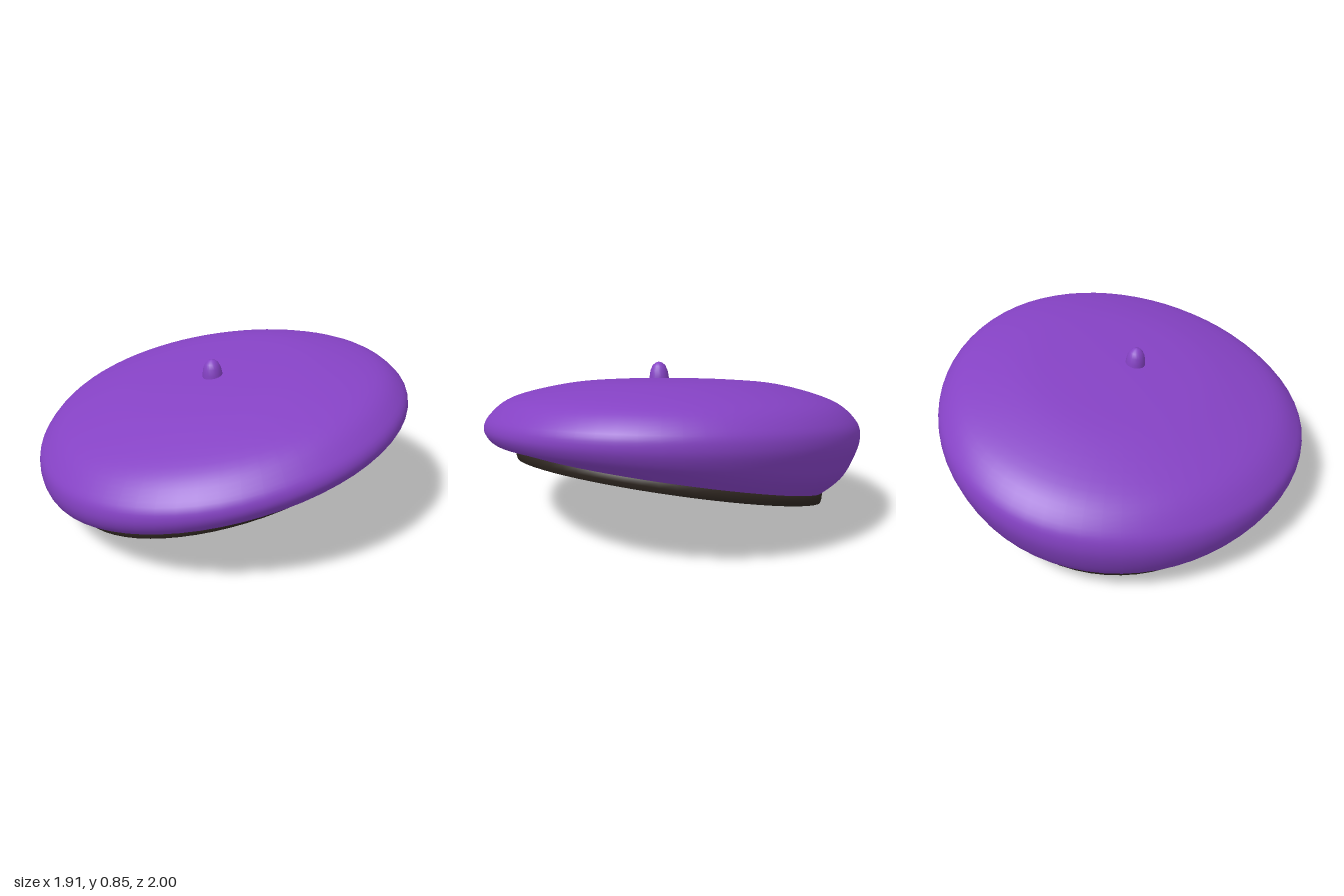
import * as THREE from 'three';

const SEGMENTS = 64;

// One tilted, slightly egg-shaped ring.
// section: [centreX, centreZ, radiusX, radiusZ, height, slopeX, slopeZ, egg]
function ringPoint([cx, cz, rx, rz, h, sx, sz, egg], angle) {
  const dz = rz * Math.sin(angle);
  const dx = rx * Math.cos(angle) * (1 + egg * dz);
  return [cx + dx, h + sx * dx + sz * dz, cz + dz];
}

// Smooth interpolation between neighbouring sections
function refine(sections, steps) {
  const out = [];
  const at = (i) => sections[Math.min(Math.max(i, 0), sections.length - 1)];
  for (let i = 0; i < sections.length - 1; i++) {
    for (let k = 0; k < steps; k++) {
      const t = k / steps;
      out.push(at(i).map((p1, n) => {
        const p0 = at(i - 1)[n], p2 = at(i + 1)[n], p3 = at(i + 2)[n];
        return p1 + 0.5 * t * (p2 - p0 + t * (2 * p0 - 5 * p1 + 4 * p2 - p3
          + t * (3 * (p1 - p2) + p3 - p0)));
      }));
    }
  }
  out.push(at(sections.length - 1));
  return out;
}

// Skin a stack of rings, listed from bottom to top of the outside
function loft(sections) {
  const positions = [], index = [];
  sections.forEach((section, i) => {
    for (let j = 0; j < SEGMENTS; j++) {
      positions.push(...ringPoint(section, (j / SEGMENTS) * Math.PI * 2));
      if (i === sections.length - 1) continue;
      const a = i * SEGMENTS + j;
      const b = i * SEGMENTS + (j + 1) % SEGMENTS;
      index.push(a, a + SEGMENTS, b, b, a + SEGMENTS, b + SEGMENTS);
    }
  });
  const geometry = new THREE.BufferGeometry();
  geometry.setAttribute('position', new THREE.Float32BufferAttribute(positions, 3));
  geometry.setIndex(index);
  geometry.computeVertexNormals();
  return geometry;
}

export function createModel() {
  const group = new THREE.Group();
  const felt = new THREE.MeshStandardMaterial({ color: 0x8542c4, side: THREE.DoubleSide });
  const trim = new THREE.MeshStandardMaterial({ color: 0x2e2620, side: THREE.DoubleSide });

  const add = (name, geometry, material) => {
    const mesh = new THREE.Mesh(geometry, material);
    mesh.name = name;
    group.add(mesh);
    return mesh;
  };

  // Head opening, used by the band and its lining
  const rim = (grow, lift) => [0.04, 0.03, 0.78 + grow, 0.8 + grow, 0.233 + lift, 0.2, 0.21, 0.03];

  // Soft crown: flares from the band, rolls over the edge, closes in a shallow dome
  add('crown', loft(refine([
    rim(0.005, 0.05),
    [0.015, 0.01, 0.87, 0.905, 0.335, 0.19, 0.155, 0.05],
    [0, 0, 0.925, 0.965, 0.4, 0.175, 0.1, 0.075],
    [0, 0, 0.95, 0.998, 0.49, 0.17, 0.07, 0.08],
    [0, 0, 0.922, 0.965, 0.575, 0.175, 0.06, 0.08],
    [0, 0, 0.8, 0.835, 0.672, 0.18, 0.06, 0.07],
    [0, 0, 0.53, 0.55, 0.748, 0.19, 0.055, 0.05],
    [0, 0, 0.26, 0.27, 0.772, 0.19, 0.055, 0.02],
    [0, 0, 0, 0, 0.777, 0.19, 0.055, 0],
  ], 5)), felt);

  // Inner lining of the band
  add('bandLining', loft([rim(0, 0), rim(0.002, 0.055)]), felt);

  // Dark band around the opening
  add('band', loft([rim(0, 0), rim(0.008, 0.002), rim(0.014, 0.025), rim(0.014, 0.052), rim(0, 0.06)]), trim);

  // Little stalk on top
  const stalkProfile = [[0.053, 0], [0.051, 0.04], [0.045, 0.072], [0.034, 0.096], [0.018, 0.111], [0, 0.116]]
    .map(([r, y]) => new THREE.Vector2(r, y));
  const stalk = add('stalk', new THREE.LatheGeometry(stalkProfile, 20), felt);
  stalk.position.set(-0.058, 0.74, 0.07);
  stalk.rotation.z = 0.08;

  return group;
}
